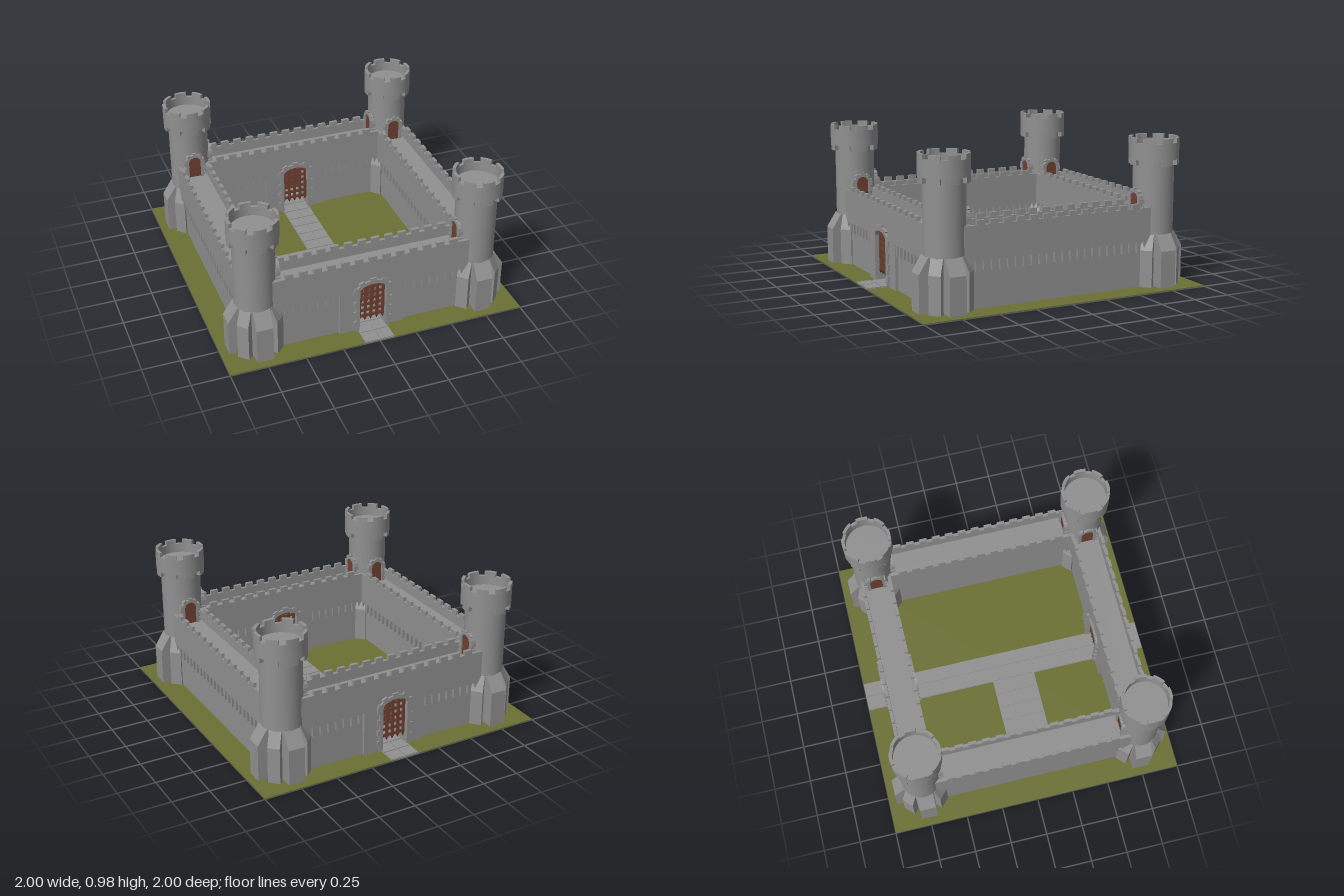
import * as THREE from 'three';
import { toCreasedNormals } from 'three/addons/utils/BufferGeometryUtils.js';

const material = (name, color) => {
  const m = new THREE.MeshStandardMaterial({ color });
  m.name = name;
  return m;
};

export function createModel() {
  const stone = material('stone', 0x909090);
  const grass = material('grass', 0x6a7033);
  const wood = material('wood', 0x6e4031);
  const root = new THREE.Group();
  root.name = 'castle';

  const group = (parent, name) => {
    const g = new THREE.Group();
    g.name = name;
    parent.add(g);
    return g;
  };
  const add = (parent, name, geo, mat, x = 0, y = 0, z = 0) => {
    const m = new THREE.Mesh(geo, mat);
    m.name = name;
    m.position.set(x, y, z);
    parent.add(m);
    return m;
  };
  const box = (parent, name, mat, w, h, d, x, y, z) =>
    add(parent, name, new THREE.BoxGeometry(w, h, d), mat, x, y, z);
  // Extrudes an outline of [x, y] pairs along z
  const extrude = (pts, depth) => new THREE.ExtrudeGeometry(
    new THREE.Shape(pts.map(p => new THREE.Vector2(p[0], p[1]))), { depth, bevelEnabled: false });

  // Arch outline from lower left over the top to lower right
  const arch = (w, y0, spring, rise) => {
    const pts = [[-w, y0]];
    for (let i = 0; i <= 12; i++) {
      const a = Math.PI * (1 - i / 12);
      pts.push([Math.cos(a) * w, spring + Math.sin(a) * rise]);
    }
    pts.push([w, y0]);
    return pts;
  };
  // Arched surround of alternating long and short stones
  const surround = (w, y0, spring, rise, pad, jambs, depth) => {
    const pad2 = i => pad * (i % 2 ? 1 : 0.62);
    const left = [], top = [];
    for (let i = 0; i < jambs; i++)
      for (const k of [i, i + 1])
        left.push([-w - pad2(i), y0 + (spring - y0) * k / jambs]);
    const n = 9;
    for (let i = 0; i < n; i++)
      for (const k of [i, i + 1]) {
        const a = Math.PI * (1 - k / n), p = pad2(i + 1);
        top.push([Math.cos(a) * (w + p), spring + 0.002 + Math.sin(a) * (rise + p)]);
      }
    const right = left.map(p => [-p[0], p[1]]).reverse();
    return extrude([...left, ...top, ...right, ...arch(w, y0, spring, rise).reverse()], depth);
  };

  // Ground and paving
  box(root, 'lawn', grass, 2, 0.004, 2, 0, 0.004, 0);
  const paving = group(root, 'paving');
  box(paving, 'mainPathBed', stone, 0.2, 0.008, 2, 0, 0.004, 0);
  box(paving, 'sidePathBed', stone, 0.54, 0.008, 0.3, -0.37, 0.004, 0.05);
  const slab = (x, z) => box(paving, 'pavingSlab', stone, 0.092, 0.006, 0.092, x, 0.01, z);
  for (let i = 0; i < 20; i++) for (const x of [-0.05, 0.05]) slab(x, -0.95 + i * 0.1);
  for (let i = 0; i < 5; i++) for (let j = 0; j < 3; j++) slab(-0.15 - i * 0.1, -0.05 + j * 0.1);
  box(paving, 'plinth', stone, 0.14, 0.012, 0.09, -0.55, 0.015, 0.045);
  box(paving, 'plinthTop', stone, 0.11, 0.006, 0.065, -0.55, 0.022, 0.045);

  // Curtain walls
  const L = 0.667, GATE = [0.09, 0.006, 0.315, 0.045];
  const gateArch = arch(...GATE);

  // Wall face: corbels along the foot, battlements along the top
  const faceOutline = gate => {
    const pts = [[-L, 0.31]];
    const pitch = 0.055, n = 24, start = -n * pitch / 2;
    let gateDone = false;
    for (let i = 0; i < n; i++) {
      const a = start + i * pitch + pitch * 0.25, b = a + pitch * 0.5;
      if (gate && b > -0.225 && a < 0.225) {
        if (!gateDone) pts.push([-0.222, 0.31], [-0.222, 0.006], ...gateArch, [0.222, 0.006], [0.222, 0.31]);
        gateDone = true;
      } else pts.push([a, 0.31], [a + 0.003, 0.24], [b - 0.003, 0.24], [b, 0.31]);
    }
    pts.push([L, 0.31], [L, 0.53]);
    const step = 0.0925;
    for (let i = 6; i >= -6; i--) {
      const x = i * step, h = 0.027;
      pts.push([x + h, 0.53], [x + h, 0.56], [x - h, 0.56], [x - h, 0.53]);
    }
    pts.push([-L, 0.53]);
    return pts;
  };

  const portcullis = (parent, z) => {
    const g = group(parent, 'portcullis');
    g.position.z = z;
    for (let i = -2; i <= 2; i++) {
      const x = i * 0.041, top = 0.315 + 0.045 * Math.sqrt(1 - (x / 0.09) ** 2);
      box(g, 'uprightBar', wood, 0.019, top - 0.08, 0.012, x, (top + 0.08) / 2, 0);
      const spike = add(g, 'spike', new THREE.ConeGeometry(0.0125, 0.025, 4), wood, x, 0.068, 0);
      spike.rotation.x = Math.PI;
    }
    for (let i = 0; i < 6; i++) box(g, 'crossBar', wood, 0.18, 0.019, 0.01, 0, 0.095 + i * 0.045, 0);
    box(g, 'headBar', wood, 0.1, 0.018, 0.01, 0, 0.346, 0);
  };

  const makeWall = (name, turn, gate) => {
    const g = group(root, name);
    g.rotation.y = turn;
    g.position.set(Math.sin(turn) * 0.75, 0, Math.cos(turn) * 0.75);
    const core = [[-L, 0.006], ...(gate ? gateArch : []), [L, 0.006], [L, 0.46], [-L, 0.46]];
    add(g, 'wallCore', extrude(core, 0.17), stone, 0, 0, -0.085);
    const face = extrude(faceOutline(gate), 0.022);
    add(g, 'outerFace', face, stone, 0, 0, 0.084);
    add(g, 'innerFace', face, stone, 0, 0, -0.106);
    if (!gate) return;
    const frame = surround(...GATE, 0.04, 8, 0.02);
    add(g, 'outerGateSurround', frame, stone, 0, 0, 0.1);
    add(g, 'innerGateSurround', frame, stone, 0, 0, -0.12);
    portcullis(g, 0.085);
    portcullis(g, -0.085);
  };
  makeWall('frontWall', 0, true);
  makeWall('backWall', Math.PI, true);
  makeWall('leftWall', Math.PI / 2, false);
  makeWall('rightWall', -Math.PI / 2, false);

  // Corner towers
  const lathe = pts => toCreasedNormals(
    new THREE.LatheGeometry(pts.map(p => new THREE.Vector2(p[0], p[1])), 40), 0.6);
  const shaftGeo = lathe([[0, 0], [0.134, 0], [0.134, 0.84]]);
  const crownGeo = lathe([[0.13, 0.835], [0.164, 0.835], [0.164, 0.945], [0.143, 0.945], [0.143, 0.885], [0, 0.885]]);
  // Curved block standing on the ring between two radii
  const ringBlock = (r0, r1, half, h) => {
    const s = new THREE.Shape();
    s.absarc(0, 0, r1, -half, half, false);
    s.absarc(0, 0, r0, half, -half, true);
    const e = new THREE.ExtrudeGeometry(s, { depth: h, bevelEnabled: false, curveSegments: 5 });
    return e.rotateX(-Math.PI / 2);
  };
  const merlonGeo = ringBlock(0.143, 0.164, 0.25, 0.032);
  const corbelGeo = ringBlock(0.128, 0.163, 0.22, 0.04);
  const buttress = (r, half) => extrude(
    [[0.08, 0], [r, 0], [r, 0.25], [0.132, 0.35], [0.08, 0.35]], half * 2).translate(0, 0, -half);
  const wideButtress = buttress(0.196, 0.055), cornerButtress = buttress(0.174, 0.04);
  const DOOR = [0.042, 0.45, 0.575, 0.042];
  const doorGeo = extrude(arch(...DOOR), 0.03);
  const doorFrameGeo = surround(...DOOR, 0.03, 6, 0.04);

  for (const sx of [-1, 1]) for (const sz of [-1, 1]) {
    const t = group(root, (sz > 0 ? 'front' : 'back') + (sx > 0 ? 'Left' : 'Right') + 'Tower');
    t.position.set(sx * 0.75, 0, sz * 0.75);
    add(t, 'shaft', shaftGeo, stone);
    add(t, 'crown', crownGeo, stone);
    for (let i = 0; i < 8; i++) {
      const a = i * Math.PI / 4;
      add(t, 'buttress', i % 2 ? cornerButtress : wideButtress, stone).rotation.y = a;
      add(t, 'corbel', corbelGeo, stone, 0, 0.798, 0).rotation.y = a;
      add(t, 'merlon', merlonGeo, stone, 0, 0.943, 0).rotation.y = a;
    }
    // Doors onto the two wall walks
    for (const turn of [-sx * Math.PI / 2, sz > 0 ? Math.PI : 0]) {
      const d = group(t, 'walkDoor');
      d.rotation.y = turn;
      add(d, 'doorLeaf', doorGeo, wood, 0, 0, 0.109);
      add(d, 'doorSurround', doorFrameGeo, stone, 0, 0, 0.108);
    }
  }

  // Practice dummy in the yard
  const dummy = group(root, 'practiceDummy');
  dummy.position.set(-0.6, 0.012, -0.05);
  add(dummy, 'post', new THREE.CylinderGeometry(0.009, 0.009, 0.12, 8), wood, 0, 0.06, 0);
  box(dummy, 'foot', wood, 0.06, 0.012, 0.02, 0, 0.006, 0.02);
  add(dummy, 'body', new THREE.CylinderGeometry(0.025, 0.02, 0.06, 12), wood, 0, 0.09, -0.015);
  add(dummy, 'head', new THREE.SphereGeometry(0.022, 12, 8), wood, 0, 0.14, -0.015);
  box(dummy, 'arms', wood, 0.1, 0.012, 0.012, 0, 0.105, 0);
  box(dummy, 'pole', wood, 0.007, 0.007, 0.2, 0, 0.09, 0.04);

  return root;
}
